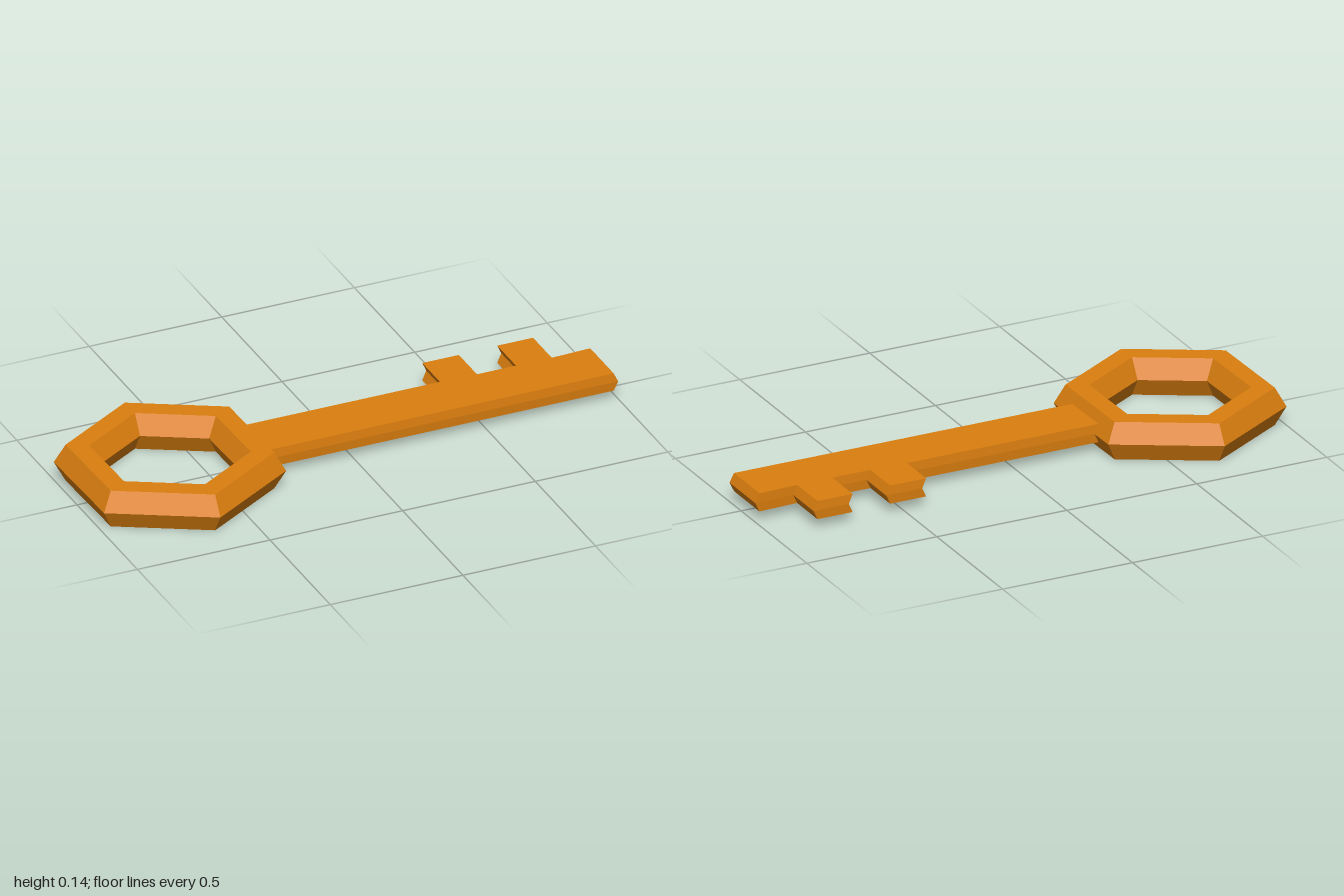
import * as THREE from 'three';

export function createModel() {
  const model = new THREE.Group();
  const bronze = new THREE.MeshStandardMaterial({ color: 0xdc7f0f, flatShading: true });
  bronze.name = 'bronze';
  const midY = 0.07;

  // Hexagonal bow with a six-sided section
  const bowGeometry = new THREE.TorusGeometry(0.319, 0.081, 6, 6);
  bowGeometry.rotateX(Math.PI / 2);
  bowGeometry.rotateY(Math.PI / 6 + 0.02);
  const bow = new THREE.Mesh(bowGeometry, bronze);
  bow.name = 'bow';
  bow.position.set(-0.65, midY, 0);
  model.add(bow);

  // Shaft and two teeth as one outline, drawn in x and -z
  const outline = [
    [-0.38, -0.09], [0.983, -0.088], [0.983, 0.106], [0.835, 0.1],
    [0.835, 0.255], [0.7, 0.255], [0.7, 0.1], [0.553, 0.1],
    [0.553, 0.25], [0.415, 0.25], [0.415, 0.104], [-0.38, 0.104],
  ].map(([x, y]) => new THREE.Vector2(x, y));
  const height = 0.068;
  const bladeGeometry = new THREE.ExtrudeGeometry(new THREE.Shape(outline), {
    depth: height, steps: 2, bevelEnabled: false,
  });

  // The middle layer leans toward the tip: pointed ahead, notched behind
  const p = bladeGeometry.attributes.position;
  for (let i = 0; i < p.count; i++) {
    if (Math.abs(p.getZ(i) - height / 2) < 0.001) {
      p.setX(i, p.getX(i) + 0.016);
      p.setY(i, p.getY(i) + (p.getY(i) < 0 ? -0.003 : 0.002));
    }
  }
  bladeGeometry.rotateX(-Math.PI / 2);
  bladeGeometry.computeVertexNormals();
  const blade = new THREE.Mesh(bladeGeometry, bronze);
  blade.name = 'shaftAndTeeth';
  blade.position.y = midY - height / 2;
  model.add(blade);

  return model;
}
